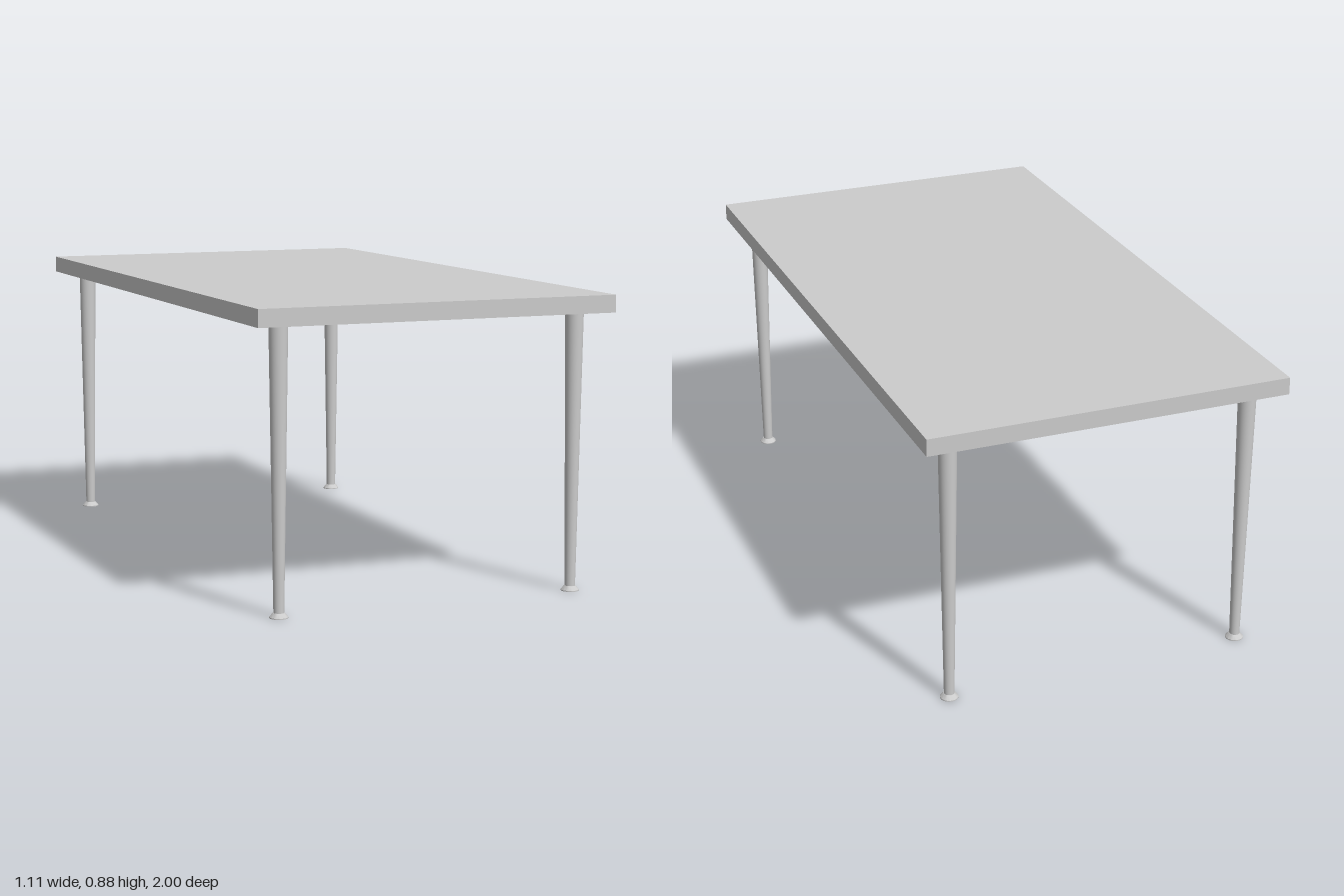
import * as THREE from 'three';
import { toCreasedNormals } from 'three/addons/utils/BufferGeometryUtils.js';

const TOP_Y = 0.884, UNDER_Y = 0.832, FOOT_H = 0.015;

export function createModel() {
  const table = new THREE.Group();
  table.name = 'table';
  const material = new THREE.MeshStandardMaterial({ color: 0xcccccc });

  const add = (parent, name, geometry, y) => {
    const mesh = new THREE.Mesh(geometry, material);
    mesh.name = name;
    mesh.position.y = y;
    parent.add(mesh);
  };

  // Rectangular slab
  const thickness = TOP_Y - UNDER_Y;
  add(table, 'tabletop', new THREE.BoxGeometry(1.11, thickness, 2), UNDER_Y + thickness / 2);

  // Round leg, tapering towards the floor
  const legLength = UNDER_Y - FOOT_H;
  const legGeometry = new THREE.CylinderGeometry(0.0275, 0.0155, legLength, 32);

  // Flared glide with a thin rim at the floor
  const footProfile = [[0, 0], [0.027, 0], [0.027, 0.003], [0.017, FOOT_H], [0, FOOT_H]];
  const footGeometry = toCreasedNormals(
    new THREE.LatheGeometry(footProfile.map(([r, y]) => new THREE.Vector2(r, y)), 32), 0.5);

  // One leg with its foot at each corner
  for (const [side, x] of [['Left', 0.464], ['Right', -0.464]]) {
    for (const [end, z] of [['front', 0.918], ['back', -0.918]]) {
      const leg = new THREE.Group();
      leg.name = `${end}${side}Leg`;
      leg.position.set(x, 0, z);
      add(leg, 'taperedLeg', legGeometry, FOOT_H + legLength / 2);
      add(leg, 'foot', footGeometry, 0);
      table.add(leg);
    }
  }
  return table;
}
